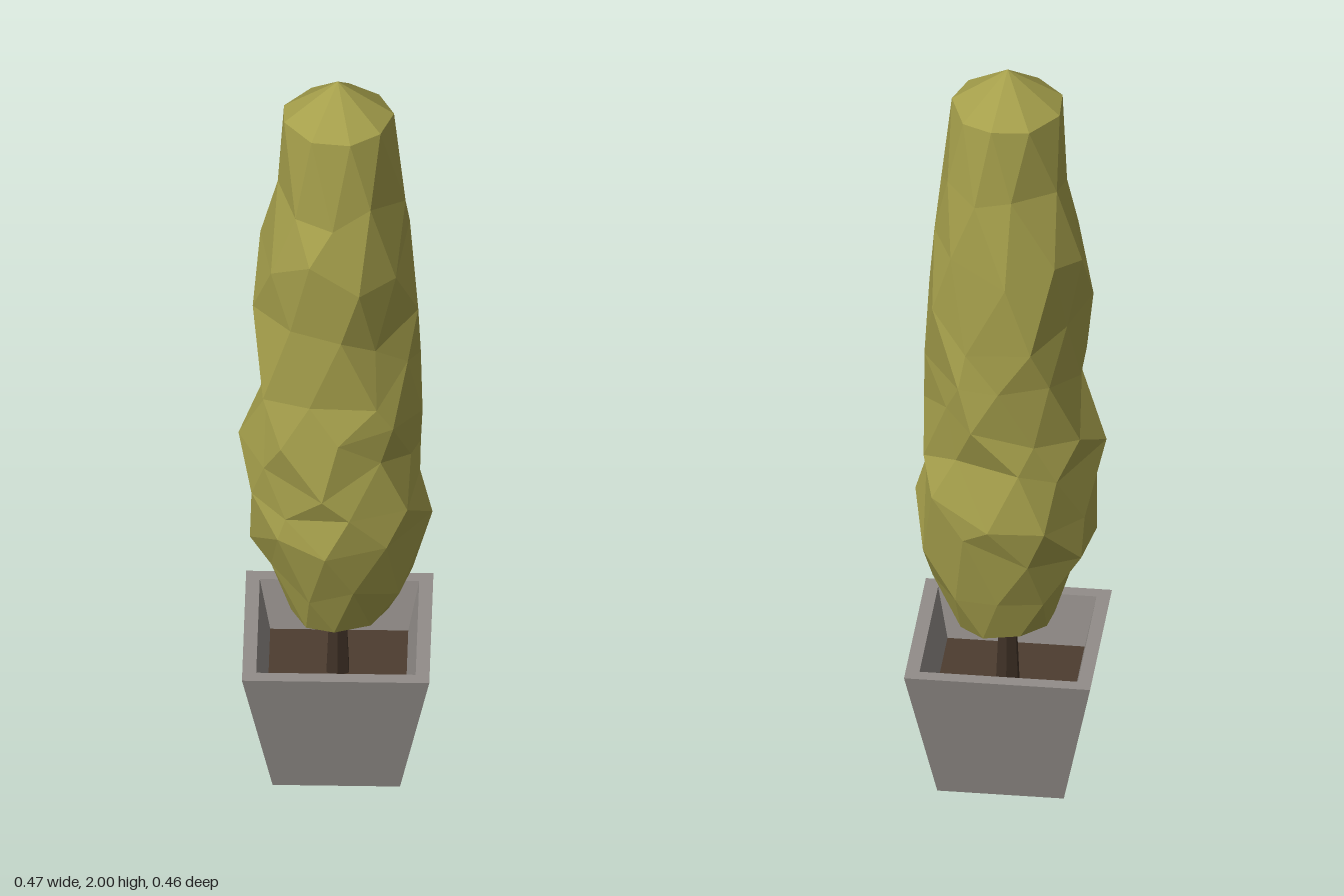
import * as THREE from 'three';

const mat = (name, color) => {
  const m = new THREE.MeshStandardMaterial({ color, flatShading: true });
  m.name = name;
  return m;
};

function seeded(seed) {
  return () => {
    seed = (seed * 16807) % 2147483647;
    return seed / 2147483647;
  };
}

// Faceted mesh with one normal per face
function facet(name, geometry, material) {
  const g = geometry.index ? geometry.toNonIndexed() : geometry;
  g.computeVertexNormals();
  const mesh = new THREE.Mesh(g, material);
  mesh.name = name;
  return mesh;
}

// Square-section turned shape; profile entries are [half width, height]
function squareLathe(profile) {
  const pts = profile.map(([w, y]) => new THREE.Vector2(w * Math.SQRT2, y));
  return new THREE.LatheGeometry(pts, 4, Math.PI / 4);
}

// Irregular, slightly twisted column of leaves closed by a point at each end
function foliageGeometry() {
  // height, then reach toward front, left, back and right
  const rings = [
    [0.43, 0.125, 0.125, 0.125, 0.115],
    [0.56, 0.175, 0.185, 0.155, 0.165],
    [0.70, 0.22, 0.23, 0.20, 0.225],
    [0.81, 0.222, 0.215, 0.232, 0.23],
    [0.93, 0.222, 0.208, 0.20, 0.232],
    [1.06, 0.222, 0.208, 0.20, 0.215],
    [1.18, 0.212, 0.215, 0.207, 0.205],
    [1.32, 0.195, 0.19, 0.207, 0.205],
    [1.53, 0.208, 0.178, 0.195, 0.20],
    [1.70, 0.16, 0.172, 0.15, 0.15],
    [1.90, 0.137, 0.137, 0.135, 0.137],
  ];
  const sides = 9;
  const rand = seeded(4711);
  const pos = [];
  const index = [];
  rings.forEach(([y, ...reach], r) => {
    const middle = r > 2 && r < 8;
    const end = r === 0 || r === rings.length - 1;
    for (let i = 0; i < sides; i++) {
      const jitter = end ? 0.1 : 0.3;
      const turn = 0.3 * r + (rand() - 0.5) * jitter;
      const a = (i / sides) * Math.PI * 2 + turn;
      const q = ((a / (Math.PI / 2)) % 4 + 4) % 4;
      const k = Math.floor(q);
      const t = THREE.MathUtils.smoothstep(q - k, 0, 1);
      let rad = THREE.MathUtils.lerp(reach[k], reach[(k + 1) % 4], t);
      // alternating ridges and grooves around the middle
      if (middle) rad += (i + r) % 2 ? 0.004 : -0.02;
      if (!end) rad += (rand() - 0.5) * 0.016;
      const dy = (rand() - 0.5) * (end ? 0.02 : 0.1);
      pos.push(rad * Math.sin(a), y + dy, rad * Math.cos(a));
    }
  });
  const at = (r, i) => r * sides + (i % sides);
  for (let r = 0; r < rings.length - 1; r++) {
    for (let i = 0; i < sides; i++) {
      const a = at(r, i), b = at(r, i + 1), c = at(r + 1, i + 1), d = at(r + 1, i);
      index.push(a, b, d, b, c, d);
    }
  }
  const bottom = pos.length / 3;
  pos.push(0, 0.37, 0, 0, 2, 0);
  for (let i = 0; i < sides; i++) {
    index.push(bottom, at(0, i + 1), at(0, i));
    index.push(bottom + 1, at(rings.length - 1, i), at(rings.length - 1, i + 1));
  }
  const g = new THREE.BufferGeometry();
  g.setAttribute('position', new THREE.Float32BufferAttribute(pos, 3));
  g.setIndex(index);
  return g;
}

export function createModel() {
  const stone = mat('stone grey', 0x928d89);
  const earth = mat('earth brown', 0x4d3d30);
  const bark = mat('bark brown', 0x3f3126);
  const leaf = mat('leaf olive', 0xa59f4b);

  const model = new THREE.Group();
  model.name = 'pottedShrub';

  // Tapered square pot with a rim and hollow top
  const planter = new THREE.Group();
  planter.name = 'planter';
  planter.position.z = 0.007;
  planter.add(facet('pot', squareLathe([
    [0, 0], [0.155, 0], [0.228, 0.365], [0.194, 0.365], [0.168, 0.235],
  ]), stone));
  const soil = facet('soil', new THREE.PlaneGeometry(0.336, 0.336), earth);
  soil.rotation.x = -Math.PI / 2;
  soil.position.y = 0.235;
  planter.add(soil);
  model.add(planter);

  // Short trunk rising out of the soil
  const trunk = facet('trunk', new THREE.CylinderGeometry(0.022, 0.032, 0.22, 6), bark);
  trunk.position.y = 0.335;
  model.add(trunk);

  model.add(facet('foliage', foliageGeometry(), leaf));
  return model;
}
